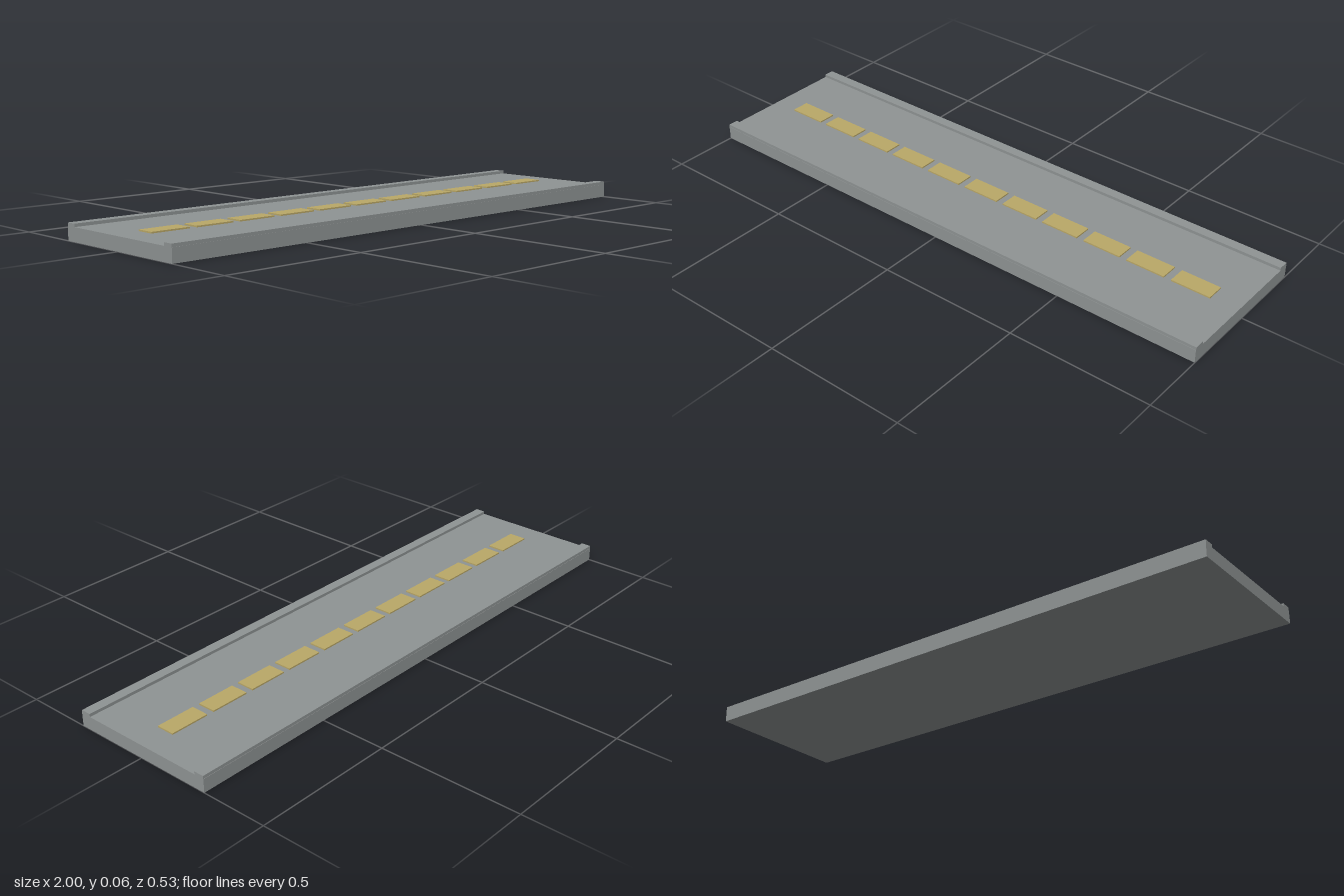
import * as THREE from 'three';

export function createModel() {
  const road = new THREE.Group();
  road.name = 'roadSegment';

  const concrete = new THREE.MeshStandardMaterial({ color: 0x8f9494 });
  concrete.name = 'concrete grey';
  const paint = new THREE.MeshStandardMaterial({ color: 0xbaa868 });
  paint.name = 'faded yellow';

  // Box placed by its centre in x and z and by its bottom in y
  const addBox = (name, material, [w, h, d], [x, bottom, z]) => {
    const mesh = new THREE.Mesh(new THREE.BoxGeometry(w, h, d), material);
    mesh.name = name;
    mesh.position.set(x, bottom + h / 2, z);
    road.add(mesh);
  };

  const deckTop = 0.0465;
  addBox('deck', concrete, [2, deckTop, 0.534], [0, 0, 0]);

  // Raised kerbs along both long edges
  for (const side of [1, -1]) {
    const name = side > 0 ? 'frontKerb' : 'backKerb';
    addBox(name, concrete, [2, 0.0105, 0.036], [0, deckTop, side * 0.248]);
  }

  // Dashed centre line
  const dashes = 11;
  for (let i = 0; i < dashes; i++) {
    const x = (i - (dashes - 1) / 2) / 6;
    addBox(`laneDash${i + 1}`, paint, [0.14, 0.005, 0.064], [x, deckTop, 0]);
  }

  return road;
}
